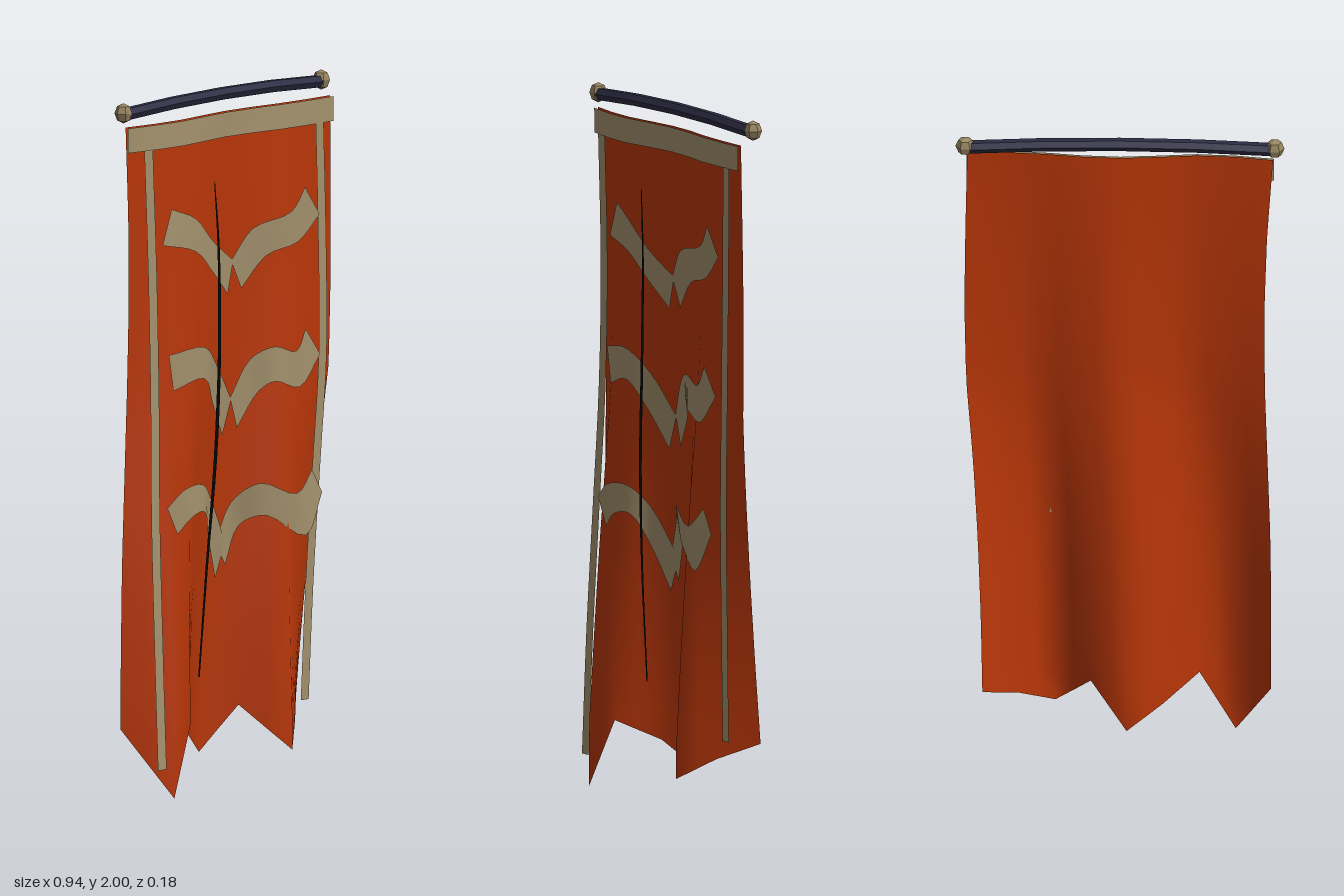
import * as THREE from 'three';

const D = THREE.DoubleSide;
const mat = (name, color, extra = {}) => {
  const m = new THREE.MeshStandardMaterial({ color, ...extra });
  m.name = name;
  return m;
};
const { lerp, clamp } = THREE.MathUtils;

// Linear lookup in an evenly spaced list, f from 0 to 1
function sample(list, f) {
  const s = clamp(f, 0, 1) * (list.length - 1);
  const i = Math.min(Math.floor(s), list.length - 2);
  return lerp(list[i], list[i + 1], s - i);
}

// Cloth shape: side outlines from top to bottom, ragged hem from left to right
const TOP = 1.93;
const edgeA = [-0.435, -0.418, -0.41, -0.412, -0.42, -0.428, -0.43, -0.43];
const edgeB = [0.435, 0.44, 0.443, 0.438, 0.418, 0.404, 0.395, 0.39];
const hem = [0.2, 0, 0.2, 0.15, 0.085, 0.215, 0.085, 0.15, 0.2];
// Fold depth from left to right, at the top, the middle and the hem
const foldsTop = [-0.016, 0, 0.006, -0.004, -0.012, -0.006, 0.008, 0.015, 0.017];
const foldsMid = [-0.03, 0.015, 0.035, 0, -0.035, -0.005, 0.04, 0.03, 0.01];
const foldsLow = [-0.04, 0.075, 0.05, -0.045, -0.09, -0.03, 0.085, 0.01, -0.075];
const MID = 0.45;

const drop = (y) => (TOP - y) / 1.75;
function depth(u, y) {
  const t = Math.min(drop(y), 1);
  return t < MID
    ? lerp(sample(foldsTop, u), sample(foldsMid, u), t / MID)
    : lerp(sample(foldsMid, u), sample(foldsLow, u), (t - MID) / (1 - MID));
}

// Grid surface from a function of (u, v); u runs right and v runs down, front faces +z
function grid(nu, nv, point) {
  const pos = [], idx = [];
  for (let j = 0; j <= nv; j++)
    for (let i = 0; i <= nu; i++) pos.push(...point(i / nu, j / nv));
  for (let j = 0; j < nv; j++)
    for (let i = 0; i < nu; i++) {
      const a = j * (nu + 1) + i, b = a + 1, c = a + nu + 1, d = c + 1;
      idx.push(a, c, b, b, c, d);
    }
  const g = new THREE.BufferGeometry();
  g.setAttribute('position', new THREE.Float32BufferAttribute(pos, 3));
  g.setIndex(idx);
  g.computeVertexNormals();
  return g;
}

// Ribbon between two smooth outlines of [x, y] points, with one depth per cross-section
function ribbon(upper, lower, depths, steps = 4) {
  const curve = (list) => new THREE.CatmullRomCurve3(
    list.map(([x, y], i) => new THREE.Vector3(x, y, depths[i])), false, 'centripetal');
  const a = curve(upper), b = curve(lower);
  return grid((upper.length - 1) * steps, 1, (u, v) => (v ? b : a).getPoint(u).toArray());
}

// Upright band along [x, y, z] points from top to bottom
const upright = (points, width) => ribbon(
  points.map(([x, y], i) => [x + width[i] / 2, y]),
  points.map(([x, y], i) => [x - width[i] / 2, y]),
  points.map((p) => p[2]));

export function createModel() {
  const group = new THREE.Group();
  const red = mat('clothRed', 0xb83608, { side: D });
  const tan = mat('trimTan', 0xa3916d, { side: D });
  const navy = mat('poleNavy', 0x2d2c44, { flatShading: true });
  const brass = mat('finialTan', 0x96835f, { flatShading: true });
  const black = mat('slitBlack', 0x050505, { side: D });
  const add = (name, geo, material) => {
    const m = new THREE.Mesh(geo, material);
    m.name = name;
    group.add(m);
    return m;
  };

  // Hanging cloth with a pointed hem
  add('cloth', grid(16, 20, (u, v) => {
    const y = lerp(TOP, sample(hem, u), v);
    return [lerp(sample(edgeA, drop(y)), sample(edgeB, drop(y)), u), y, depth(u, y)];
  }), red);

  // Trim along the top, following the folds
  add('topTrim', grid(16, 2, (u, v) => {
    const y = lerp(1.928, 1.857, v);
    return [lerp(-0.437, 0.437, u), y, depth(u, y) + 0.011];
  }), tan);

  // Trim down both sides
  add('rightTrim', upright([[-0.366, 1.86, 0.012], [-0.35, 1.5, 0.013], [-0.348, 1.15, 0.02],
    [-0.36, 0.8, 0.033], [-0.367, 0.44, 0.05], [-0.368, 0.085, 0.064]], Array(6).fill(0.038)), tan);
  add('leftTrim', upright([[0.373, 1.86, 0.03], [0.378, 1.53, 0.035], [0.377, 1.2, 0.038],
    [0.357, 0.87, 0.03], [0.342, 0.54, 0.018], [0.333, 0.205, 0.008]], Array(6).fill(0.035)), tan);

  // Three pairs of curved ribbons, from top to bottom: upper outline, lower outline, depths
  const bands = [
    [[[-0.27, 1.68], [-0.18, 1.645], [-0.09, 1.57], [0.025, 1.5]],
      [[-0.31, 1.58], [-0.18, 1.55], [-0.09, 1.48], [0, 1.405]],
      [0.017, 0.032, 0.02, 0]],
    [[[0.015, 1.5], [0.09, 1.585], [0.24, 1.62], [0.29, 1.685]],
      [[0.06, 1.415], [0.15, 1.5], [0.27, 1.53], [0.355, 1.6]],
      [0, 0.017, 0.037, 0.045]],
    [[[-0.3, 1.265], [-0.16, 1.275], [-0.07, 1.21], [0.025, 1.1]],
      [[-0.28, 1.16], [-0.16, 1.185], [-0.09, 1.105], [-0.015, 1]],
      [0.032, 0.047, 0.018, -0.008]],
    [[[0.02, 1.105], [0.085, 1.21], [0.165, 1.24], [0.245, 1.22], [0.285, 1.28]],
      [[0.05, 1.015], [0.125, 1.115], [0.165, 1.14], [0.26, 1.115], [0.35, 1.2]],
      [-0.008, 0.012, 0.038, 0.051, 0.051]],
    [[[-0.325, 0.83], [-0.26, 0.875], [-0.16, 0.88], [-0.085, 0.825], [0.015, 0.69]],
      [[-0.28, 0.75], [-0.22, 0.795], [-0.15, 0.8], [-0.1, 0.725], [-0.03, 0.59]],
      [0.047, 0.054, 0.041, 0.01, -0.022]],
    [[[-0.03, 0.69], [0.025, 0.805], [0.1, 0.855], [0.225, 0.815], [0.3, 0.875]],
      [[0.015, 0.625], [0.06, 0.735], [0.125, 0.76], [0.265, 0.69], [0.345, 0.805]],
      [-0.022, -0.008, 0.036, 0.069, 0.062]],
  ];
  bands.forEach(([upper, lower, depths], i) => add(
    `${i % 2 ? 'left' : 'right'}Ribbon${Math.floor(i / 2) + 1}`, ribbon(upper, lower, depths), tan));

  // Thin dark slit, tapered at both ends
  add('slit', upright([[-0.1, 1.74, 0.035], [-0.086, 1.55, 0.038], [-0.086, 1.25, 0.041],
    [-0.1, 0.95, 0.038], [-0.118, 0.65, 0.022], [-0.128, 0.32, 0]],
  [0.004, 0.01, 0.014, 0.015, 0.011, 0.007]), black);

  // Slightly bowed pole with faceted end knobs
  const bow = new THREE.QuadraticBezierCurve3(
    new THREE.Vector3(-0.44, 1.967, -0.02),
    new THREE.Vector3(0, 1.993, -0.02),
    new THREE.Vector3(0.44, 1.967, -0.02));
  add('pole', new THREE.TubeGeometry(bow, 4, 0.019, 6), navy);
  for (const s of [-1, 1]) {
    const knob = add(s > 0 ? 'leftKnob' : 'rightKnob', new THREE.SphereGeometry(0.029, 6, 4), brass);
    knob.position.set(s * 0.44, 1.971, -0.02);
    knob.scale.set(0.95, 1, 0.85);
  }
  return group;
}
